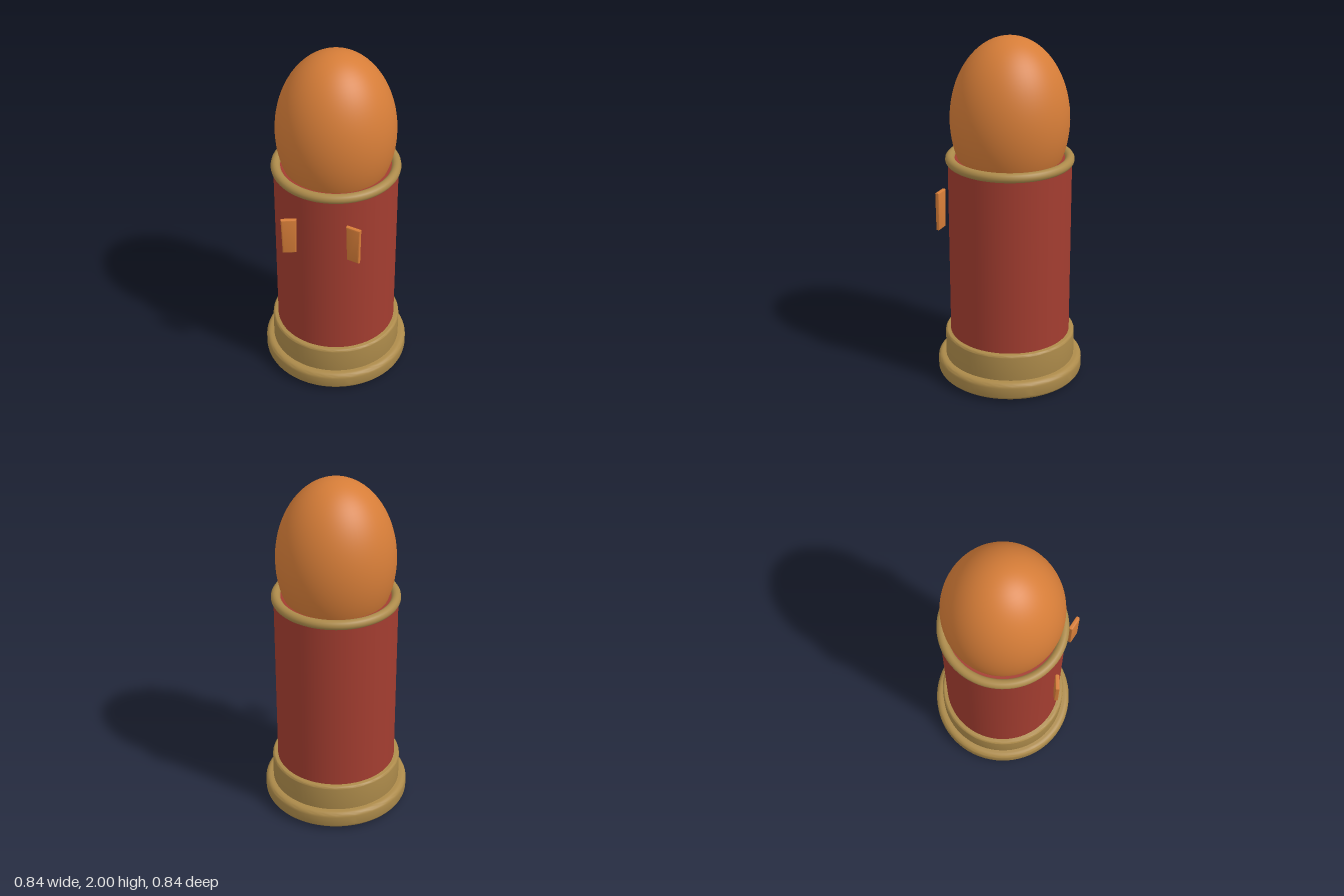
import * as THREE from 'three';
import { toCreasedNormals } from 'three/addons/utils/BufferGeometryUtils.js';

const orange = new THREE.MeshStandardMaterial({ name: 'orange', color: 0xd67d38 });
const red = new THREE.MeshStandardMaterial({ name: 'red', color: 0xa33d30 });
const brass = new THREE.MeshStandardMaterial({ name: 'brass', color: 0xac8a4a });

// Solid disc from y0 to y1 with rounded top and bottom edges
function roundedDisc(radius, y0, y1, round) {
  const pts = [new THREE.Vector2(0, y0)];
  const steps = 6;
  for (const [cy, start] of [[y0 + round, -Math.PI / 2], [y1 - round, 0]]) {
    for (let i = 0; i <= steps; i++) {
      const a = start + (i / steps) * Math.PI / 2;
      pts.push(new THREE.Vector2(radius - round + round * Math.cos(a), cy + round * Math.sin(a)));
    }
  }
  pts.push(new THREE.Vector2(0, y1));
  return toCreasedNormals(new THREE.LatheGeometry(pts, 72), 0.6);
}

// Upright plate, slightly wider at the top, with bevelled edges
function plateGeometry() {
  const b = 0.008;
  const shape = new THREE.Shape();
  shape.moveTo(-0.036 + b, -0.11 + b);
  shape.lineTo(0.039 - b, -0.11 + b);
  shape.lineTo(0.043 - b, 0.11 - b);
  shape.lineTo(-0.042 + b, 0.11 - b);
  shape.closePath();
  const geo = new THREE.ExtrudeGeometry(shape, {
    depth: 0.008, bevelEnabled: true, bevelThickness: b, bevelSize: b, bevelSegments: 3,
  });
  geo.translate(0, 0, -0.004);
  return toCreasedNormals(geo, 0.6);
}

export function createModel() {
  const model = new THREE.Group();
  model.name = 'model';

  function add(name, geometry, material, x = 0, y = 0, z = 0) {
    const mesh = new THREE.Mesh(geometry, material);
    mesh.name = name;
    mesh.position.set(x, y, z);
    model.add(mesh);
    return mesh;
  }

  // Stepped base
  add('baseBand', roundedDisc(0.375, 0, 0.272, 0.015), brass);
  add('baseRim', roundedDisc(0.42, 0.01, 0.116, 0.03), brass);

  // Cylindrical body
  add('body', new THREE.CylinderGeometry(0.345, 0.345, 1.07, 72), red, 0, 0.785, 0);

  // Collar ring around the mouth
  const collar = new THREE.TorusGeometry(0.332, 0.027, 16, 72);
  collar.rotateX(Math.PI / 2);
  add('collar', collar, brass, 0, 1.314, 0);

  // Egg-shaped top
  const dome = new THREE.SphereGeometry(1, 64, 40);
  dome.scale(0.33, 0.46, 0.33);
  add('dome', dome, orange, 0, 1.54, 0);

  // Pair of mirrored front plates
  const plate = plateGeometry();
  for (const side of [1, -1]) {
    const mesh = add(side > 0 ? 'leftPlate' : 'rightPlate', plate, orange, side * 0.179, 1.055, 0.36);
    mesh.rotation.y = -side * 0.29;
  }

  return model;
}
